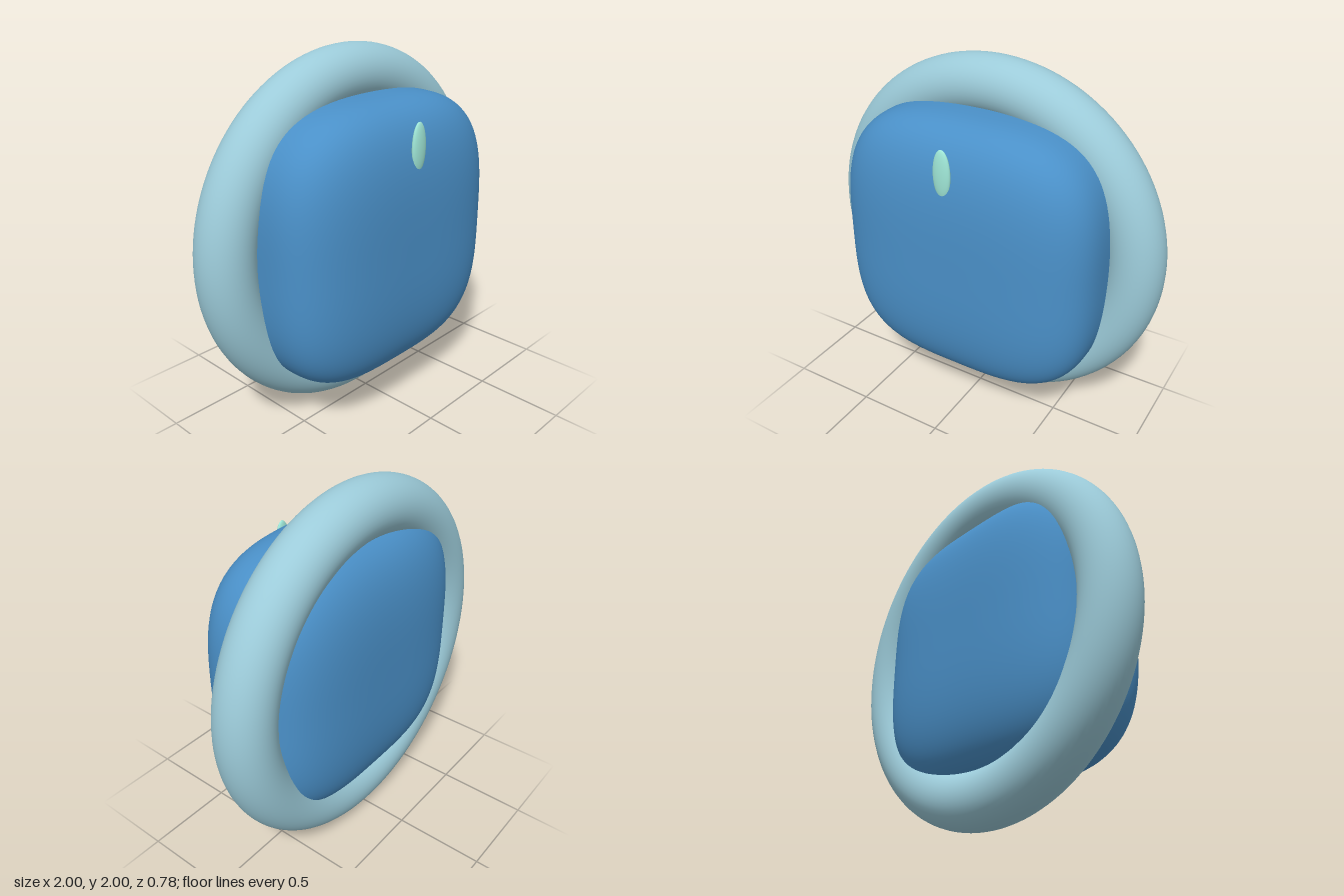
import * as THREE from 'three';

const POWER = 3.33; // squareness of the cushion body

// Box pushed onto the surface |x|^n + |y|^n + |z|^n = 1, then scaled
function superellipsoid(a, b, c, n) {
  const geometry = new THREE.BoxGeometry(2, 2, 2, 32, 32, 32);
  const pos = geometry.attributes.position;
  const normal = geometry.attributes.normal;
  const p = new THREE.Vector3();
  const g = new THREE.Vector3();
  const slope = (t) => Math.sign(t) * Math.abs(t) ** (n - 1);
  for (let i = 0; i < pos.count; i++) {
    p.fromBufferAttribute(pos, i);
    const size = (Math.abs(p.x) ** n + Math.abs(p.y) ** n + Math.abs(p.z) ** n) ** (1 / n);
    p.divideScalar(size);
    g.set(slope(p.x) / a, slope(p.y) / b, slope(p.z) / c).normalize();
    pos.setXYZ(i, p.x * a, p.y * b, p.z * c);
    normal.setXYZ(i, g.x, g.y, g.z);
  }
  return geometry;
}

export function createModel() {
  const model = new THREE.Group();
  model.name = 'ringedCushion';

  const add = (name, geometry, color, y, z) => {
    const mesh = new THREE.Mesh(geometry, new THREE.MeshStandardMaterial({ color }));
    mesh.name = name;
    mesh.position.set(0, y, z);
    model.add(mesh);
    return mesh;
  };

  // Rounded square body
  add('body', superellipsoid(0.75, 0.755, 0.39, POWER), 0x4a90c8, 1, 0);

  // Round ring around the back half of the body
  add('ring', new THREE.TorusGeometry(0.845, 0.155, 40, 128), 0x9ccbd9, 1, -0.135);

  // Small oval marker near the top of the front face
  const marker = add('marker', new THREE.SphereGeometry(1, 32, 24), 0xa0e8d8, 1.537, 0.36);
  marker.scale.set(0.05, 0.13, 0.02);

  return model;
}
